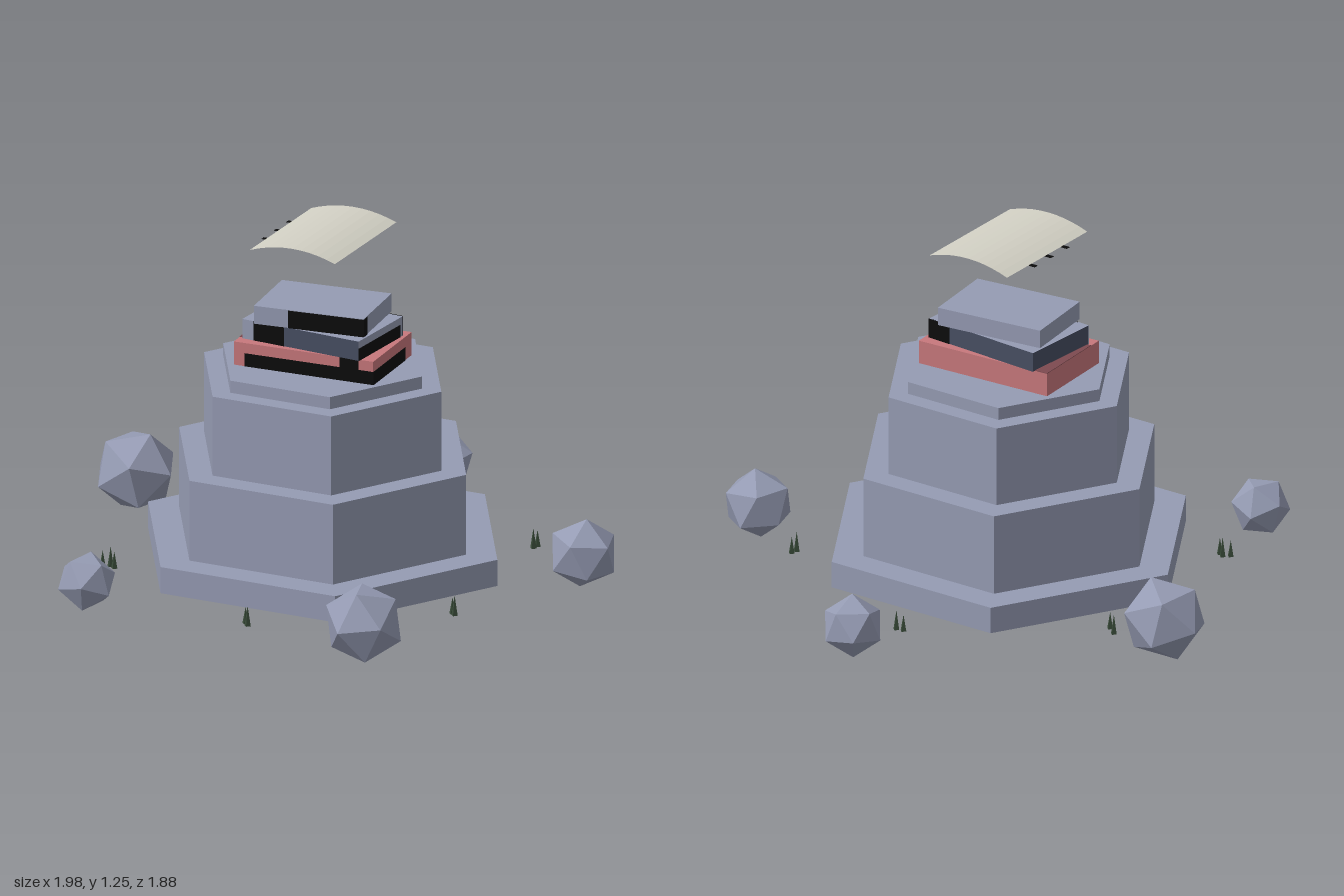
import * as THREE from 'three';

const mat = (name, color, extra = {}) => {
  const m = new THREE.MeshStandardMaterial({ color, flatShading: true, ...extra });
  m.name = name;
  return m;
};

export function createModel() {
  const model = new THREE.Group();
  model.name = 'steppedPedestal';

  const stone = mat('stone', 0x959bb3);
  const red = mat('red', 0xc8787c);
  const darkRed = mat('darkRed', 0x7d4a50);
  const navy = mat('navy', 0x474e62);
  const black = mat('black', 0x0c0c0c, { side: THREE.DoubleSide });
  const cloth = mat('paleCloth', 0xd2d0c4, { side: THREE.DoubleSide });
  const green = mat('darkGreen', 0x384a38);

  const add = (parent, name, geo, material, x = 0, y = 0, z = 0) => {
    const mesh = new THREE.Mesh(geo, material);
    mesh.name = name;
    mesh.position.set(x, y, z);
    parent.add(mesh);
    return mesh;
  };

  const CX = 0.008, CZ = 0.065;

  // Hexagonal steps: radius, bottom, top
  [
    [0.667, 0.05, 0.145],
    [0.548, 0.145, 0.435],
    [0.453, 0.435, 0.722],
    [0.38, 0.722, 0.766],
  ].forEach(([r, y0, y1], i) => {
    const geo = new THREE.CylinderGeometry(r, r, y1 - y0, 6);
    geo.rotateY(Math.PI / 2);
    add(model, 'step' + (i + 1), geo, stone, CX, (y0 + y1) / 2, CZ);
  });

  // Slabs stacked on the steps, each turned a little
  const slab = (name, w, d, y0, y1, turn, materials) => {
    const g = new THREE.Group();
    g.name = name;
    g.position.set(CX, y0, CZ);
    g.rotation.y = turn;
    model.add(g);
    add(g, name + 'Block', new THREE.BoxGeometry(w, y1 - y0, d), materials, 0, (y1 - y0) / 2, 0);
    // Thin panel on one side, given by its span along the side and its heights
    const panel = (side, a, b, lo, hi, material) => {
      const t = 0.004, len = b - a, mid = (a + b) / 2, h = hi - lo, y = (lo + hi) / 2;
      if (side === 'front' || side === 'back') {
        const s = side === 'front' ? 1 : -1;
        add(g, side + 'Panel', new THREE.BoxGeometry(len, h, t), material, mid, y, s * d / 2);
      } else {
        add(g, side + 'Panel', new THREE.BoxGeometry(t, h, len), material, w / 2, y, mid);
      }
    };
    return { g, panel };
  };

  const lower = slab('lowerSlab', 0.52, 0.33, 0.766, 0.85, 0.05, red);
  lower.panel('front', -0.22, 0.26, 0, 0.047, black);
  lower.panel('front', 0.135, 0.205, 0.047, 0.084, black);
  lower.panel('side', -0.11, 0.165, 0, 0.047, black);
  add(lower.g, 'edgeStrip', new THREE.BoxGeometry(0.05, 0.004, 0.28), darkRed, -0.235, 0.084, -0.025);

  const middle = slab('middleSlab', 0.46, 0.30, 0.85, 0.92, -0.07, [stone, navy, stone, stone, navy, navy]);
  middle.panel('front', -0.23, -0.185, 0, 0.07, stone);
  middle.panel('front', -0.185, -0.065, 0, 0.07, black);
  middle.panel('side', -0.13, 0.15, 0, 0.044, black);
  middle.panel('back', 0.14, 0.23, 0, 0.07, black);

  const upper = slab('upperSlab', 0.40, 0.28, 0.92, 0.985, 0.11, stone);
  upper.panel('front', -0.075, 0.2, 0, 0.063, black);
  upper.panel('side', 0.105, 0.14, 0, 0.063, black);

  // Arched canopy sheet with thin bars beneath it
  const sheet = new THREE.PlaneGeometry(0.325, 0.475, 10, 1);
  sheet.rotateX(-Math.PI / 2);
  const p = sheet.attributes.position;
  for (let i = 0; i < p.count; i++) p.setY(i, 0.03 * (1 - (p.getX(i) / 0.1625) ** 2));
  sheet.computeVertexNormals();
  add(model, 'canopy', sheet, cloth, CX, 1.215, 0.0625);
  for (const z of [0.16, 0.065, -0.03]) {
    const bar = new THREE.PlaneGeometry(0.26, 0.02);
    bar.rotateX(-Math.PI / 2);
    add(model, 'canopyBar', bar, black, -0.045, 1.21, z);
  }

  // Boulders around the base: x, y, z, radius, turn
  [
    [-0.85, 0.137, -0.225, 0.15, 0.4],
    [0.53, 0.13, 0.805, 0.142, 1.3],
    [0.872, 0.117, -0.2, 0.125, 2.1],
    [0.02, 0.11, -0.842, 0.11, 0.9],
    [-0.535, 0.108, 0.79, 0.104, 2.8],
  ].forEach(([x, y, z, r, turn]) => {
    const rock = add(model, 'boulder', new THREE.IcosahedronGeometry(r, 0), stone, x, y, z);
    rock.rotation.set(turn * 0.5, turn, turn * 0.3);
  });

  // Grass tufts: x, z of each blade
  [
    [-0.07, -0.668], [-0.043, -0.672],
    [0.62, -0.356], [0.615, -0.334],
    [0.662, 0.385], [0.676, 0.397],
    [0.07, 0.785], [0.088, 0.806],
    [-0.622, 0.49], [-0.6, 0.473], [-0.58, 0.485],
    [-0.672, -0.272], [-0.635, -0.242],
  ].forEach(([x, z], i) => {
    const h = 0.06 + 0.012 * (i % 2);
    add(model, 'grassBlade', new THREE.ConeGeometry(0.012, h, 4), green, x, 0.05 + h / 2, z);
  });

  return model;
}
